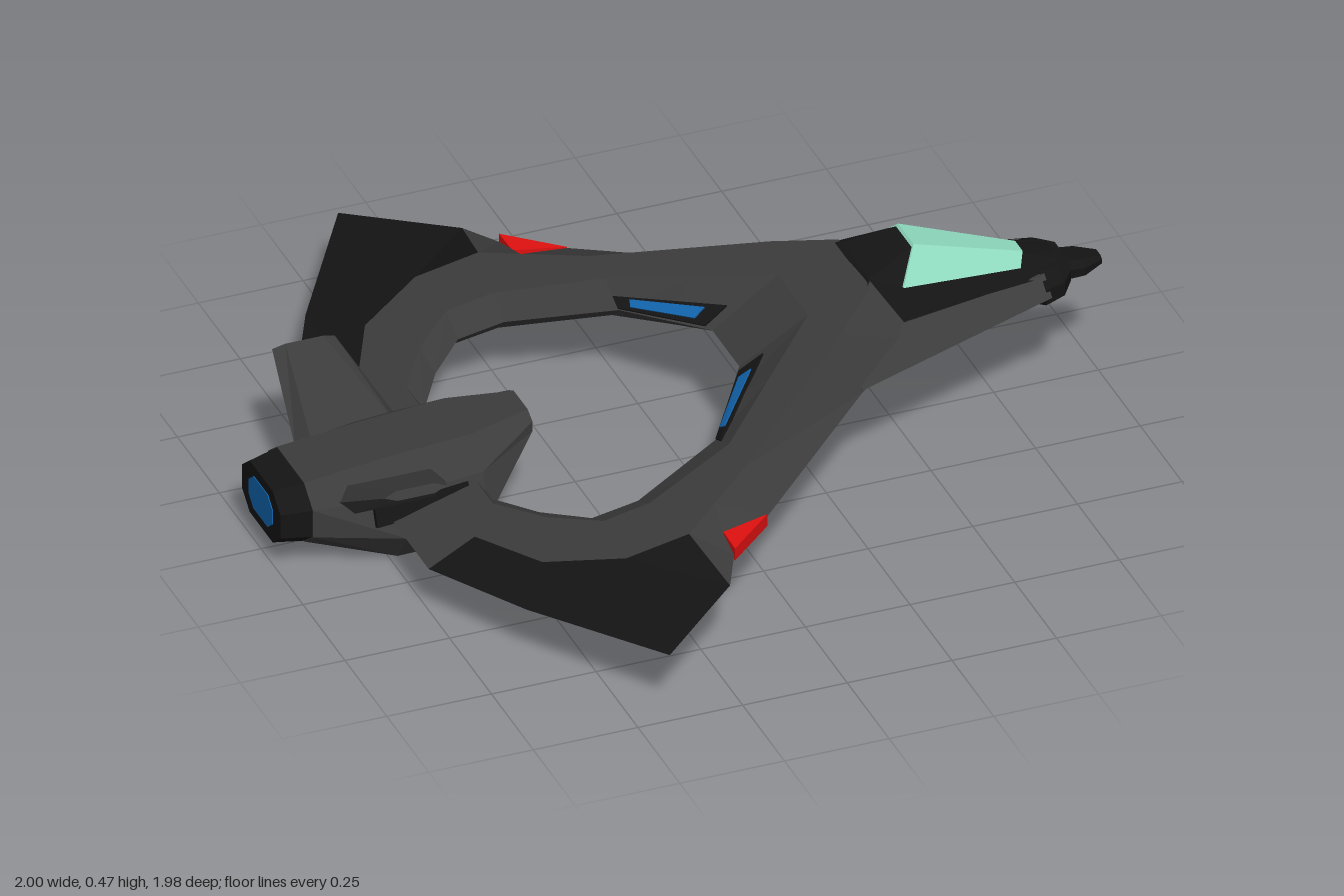
import * as THREE from 'three';

const paint = (color) => new THREE.MeshStandardMaterial({ color, flatShading: true, side: THREE.DoubleSide });
const vec = (p) => new THREE.Vector3(...p);
const flip = ([x, y, z]) => [x, y, -z];
const mix = (a, b, t) => a.map((k, i) => k + (b[i] - k) * t);

// Flat-faced solid through closed cross-sections (loops of [x, y, z]) with end caps
function loft(sections) {
  const tris = [];
  const n = sections[0].length;
  for (let s = 0; s < sections.length - 1; s++) {
    const a = sections[s], b = sections[s + 1];
    for (let i = 0; i < n; i++) {
      const j = (i + 1) % n;
      tris.push([a[i], b[i], b[j]], [a[i], b[j], a[j]]);
    }
  }
  const first = sections[0], last = sections[sections.length - 1];
  for (let i = 1; i < n - 1; i++) {
    tris.push([first[0], first[i], first[i + 1]], [last[0], last[i + 1], last[i]]);
  }
  // Signed volume decides which way the faces must turn
  const c = vec(first[0]);
  let volume = 0;
  for (const [p, q, r] of tris) volume += vec(p).sub(c).dot(vec(q).sub(c).cross(vec(r).sub(c)));
  const pos = tris.flatMap(([p, q, r]) => (volume < 0 ? [p, r, q] : [p, q, r]).flat());
  const g = new THREE.BufferGeometry();
  g.setAttribute('position', new THREE.Float32BufferAttribute(pos, 3));
  g.computeVertexNormals();
  return g;
}

// Half profile (top to bottom) completed by its mirror image
const whole = (half) => [...half, ...half.map(flip).reverse()];
const section = (x, ...yz) => whole(yz.map(([y, z]) => [x, y, z]));
// Eight-sided section of half height h and half width w
const oct = (x, y, h, w) => section(x, [y + h, w * 0.6], [y + h * 0.45, w], [y - h * 0.45, w], [y - h, w * 0.6]);

// Thin plate lying on part of a four-cornered face, u and v running 0..1
function plate(q, u0, u1, v0, v1, lift) {
  const at = (u, v) => mix(mix(q[0], q[1], u), mix(q[3], q[2], u), v);
  const n = vec(q[1]).sub(vec(q[0])).cross(vec(q[3]).sub(vec(q[0]))).normalize();
  if (n.y < 0) n.negate();
  const ring = [at(u0, v0), at(u1, v0), at(u1, v1), at(u0, v1)];
  return [-0.006, lift].map((d) => ring.map((p) => vec(p).addScaledVector(n, d).toArray()));
}

// Height along x, joined by straight runs between [x, y] knots
const heights = (...knots) => (x) => {
  let i = 1;
  while (i < knots.length - 1 && x > knots[i][0]) i++;
  const [a, b] = [knots[i - 1], knots[i]];
  return a[1] + (b[1] - a[1]) * (x - a[0]) / (b[0] - a[0]);
};
const deck = heights([-0.76, 0.125], [-0.26, 0.222], [-0.03, 0.265], [0.42, 0.42]);
const belly = heights([-0.76, 0.07], [-0.25, 0.153], [0.17, 0.228], [0.6, 0.24]);
const rim = heights([-0.76, 0.125], [-0.42, 0.165], [-0.2, 0.185], [-0.03, 0.21], [0.5, 0.3]);

// Ring section from its plan: rim, outer ridge, inner ridge and inner edge
function station(rx, rz, ox, oz, ix, iz, ex, ez) {
  const mx = (ix + ex) / 2;
  return [
    [rx, rim(rx), rz], [ox, deck(ox), oz], [ix, deck(ix), iz],
    [ex, (deck(ex) + belly(ex)) / 2, ez], [mx, belly(mx), (iz + ez) / 2], [ox, belly(ox), oz],
  ];
}

export function createModel() {
  const group = new THREE.Group();
  const grey = paint(0x3b3b3b), black = paint(0x141414), red = paint(0xe01010);
  const blue = paint(0x1264ac), glass = paint(0x90dcc0);

  const add = (name, sections, mat) => {
    const mesh = new THREE.Mesh(loft(sections), mat);
    mesh.name = name;
    group.add(mesh);
  };
  const addPair = (name, sections, mat) => {
    add(name + 'Right', sections, mat);
    add(name + 'Left', sections.map((s) => s.map(flip)), mat);
  };

  // Ring arms: front half, notch for the lamp, then the part behind the wing blades
  const front = [
    station(0.5, 0.18, 0.42, 0.1, 0.27, 0.09, 0.11, 0.08),
    station(0.32, 0.29, 0.3, 0.21, 0.12, 0.23, 0.04, 0.185),
    station(-0.03, 0.6, -0.03, 0.47, -0.03, 0.37, -0.03, 0.29),
  ];
  const rear = [
    station(-0.2, 0.8, -0.23, 0.63, -0.26, 0.47, -0.26, 0.4),
    station(-0.42, 0.99, -0.38, 0.63, -0.37, 0.47, -0.37, 0.4),
    station(-0.63, 0.66, -0.54, 0.53, -0.47, 0.38, -0.46, 0.31),
    station(-0.76, 0.4, -0.63, 0.35, -0.55, 0.26, -0.53, 0.2),
  ];
  const atZ = (s, z) => s.map((p) => [p[0], p[1], z]);
  const notch = (t, z) => {
    const s = front[2].map((p, i) => mix(p, rear[0][i], t));
    return [[-0.15, 0.195, z], ...s.slice(1)];
  };
  const trimmed = (s) => [mix(s[1], s[5], 0.5), ...s.slice(1)];
  addPair('ringArm', [
    atZ(front[0], 0), ...front, notch(0.55, 0.64), notch(0.62, 0.7),
    rear[0], ...rear.map(trimmed), rear[3], atZ(rear[3], 0.1),
  ], grey);
  addPair('wingBlade', rear.map((s) => [s[0], s[1], s[5]]), black);

  // Red marker lamps filling the notches
  const lampPlan = [[-0.03, 0.598], [-0.148, 0.63], [-0.15, 0.705]];
  addPair('markerLamp', [0.214, 0.183].map((y) => lampPlan.map(([x, z]) => [x, y, z])), red);

  // Blue windows in dark frames on the inside of the ring
  const inner = [front[0][3], front[2][3], front[2][2], front[0][2]];
  addPair('windowFrame', plate(inner, 0.1, 1, 0.04, 0.42, 0.004), black);
  addPair('window', plate(inner, 0.24, 0.86, 0.12, 0.34, 0.008), blue);

  // Forward hull tapering to the nose
  add('hull', [
    section(0.32, [0.34, 0.19], [0.275, 0.29], [0.228, 0.2]),
    section(0.84, [0.335, 0.08], [0.3, 0.125], [0.25, 0.06]),
  ], grey);
  add('noseCollar', [oct(0.83, 0.296, 0.043, 0.115), oct(0.88, 0.3, 0.038, 0.1), oct(0.91, 0.304, 0.032, 0.06)], black);
  add('noseTip', [oct(0.9, 0.3, 0.026, 0.05), oct(0.95, 0.298, 0.022, 0.048), oct(1, 0.298, 0.011, 0.022)], black);

  // Dark cockpit housing and its faceted canopy
  const canopyRear = [[0.54, 0.46, 0.045], [0.49, 0.395, 0.11]];
  const canopyFront = [[0.81, 0.365, 0.022], [0.79, 0.347, 0.06]];
  add('cockpitHousing', [
    whole([[0.42, 0.424, 0.08], [0.4, 0.41, 0.11], [0.32, 0.33, 0.195]]),
    whole([...canopyRear, [0.5, 0.33, 0.155]]),
    whole([...canopyFront, [0.82, 0.33, 0.09]]),
    section(0.89, [0.342, 0.015], [0.338, 0.04], [0.33, 0.06]),
  ], black);
  const raise = ([x, y, z]) => [x, y + 0.005, z * 1.02];
  add('canopy', [canopyRear, canopyFront].map((half) => whole(half.map(raise))), glass);

  // Rear pod with engine nozzle
  add('pod', [
    oct(-0.93, 0.127, 0.077, 0.135),
    section(-0.73, [0.225, 0.08], [0.17, 0.165], [0.08, 0.2], [0, 0.14]),
    section(-0.53, [0.238, 0.08], [0.18, 0.15], [0.08, 0.185], [0, 0.135]),
    oct(-0.38, 0.217, 0.028, 0.07),
  ], grey);
  add('nozzle', [oct(-0.925, 0.127, 0.076, 0.134), oct(-1, 0.124, 0.067, 0.115)], black);
  add('nozzleGlow', [-0.98, -1.002].map((x) => oct(x, 0.124, 0.042, 0.07)), blue);
  const podSide = [[-0.73, 0.17, 0.165], [-0.53, 0.18, 0.15], [-0.53, 0.08, 0.185], [-0.73, 0.08, 0.2]];
  addPair('podVent', plate(podSide, -0.35, 0.8, 0.1, 0.55, 0.006), black);

  // Slot lamp on the sloping front of the pod: t runs up the slope, d lifts off it
  const slot = (t0, t1, w, lift) => [0, lift].map((d) => whole(
    [[t1, w * 0.7], [t1 - 0.07, w], [t0 + 0.07, w], [t0, w * 0.7]]
      .map(([t, z]) => [-0.53 + 0.15 * t + 0.8 * d, 0.19 * t - 0.6 * d, z])));
  add('lampFrame', slot(0.07, 0.98, 0.055, 0.006), black);
  add('slotLamp', slot(0.15, 0.92, 0.042, 0.01), red);

  // Canted fins with bevelled edges
  const blade = (x0, x1, y, z, t) => [
    [x0, y, z], [x0 + 0.03, y + t, z - t / 2], [x1 - 0.03, y + t, z - t / 2],
    [x1, y, z], [x1 - 0.03, y - t, z + t / 2], [x0 + 0.03, y - t, z + t / 2],
  ];
  addPair('fin', [blade(-0.87, -0.61, 0.16, 0.12, 0.03), blade(-0.84, -0.69, 0.29, 0.335, 0.01)], grey);

  return group;
}
